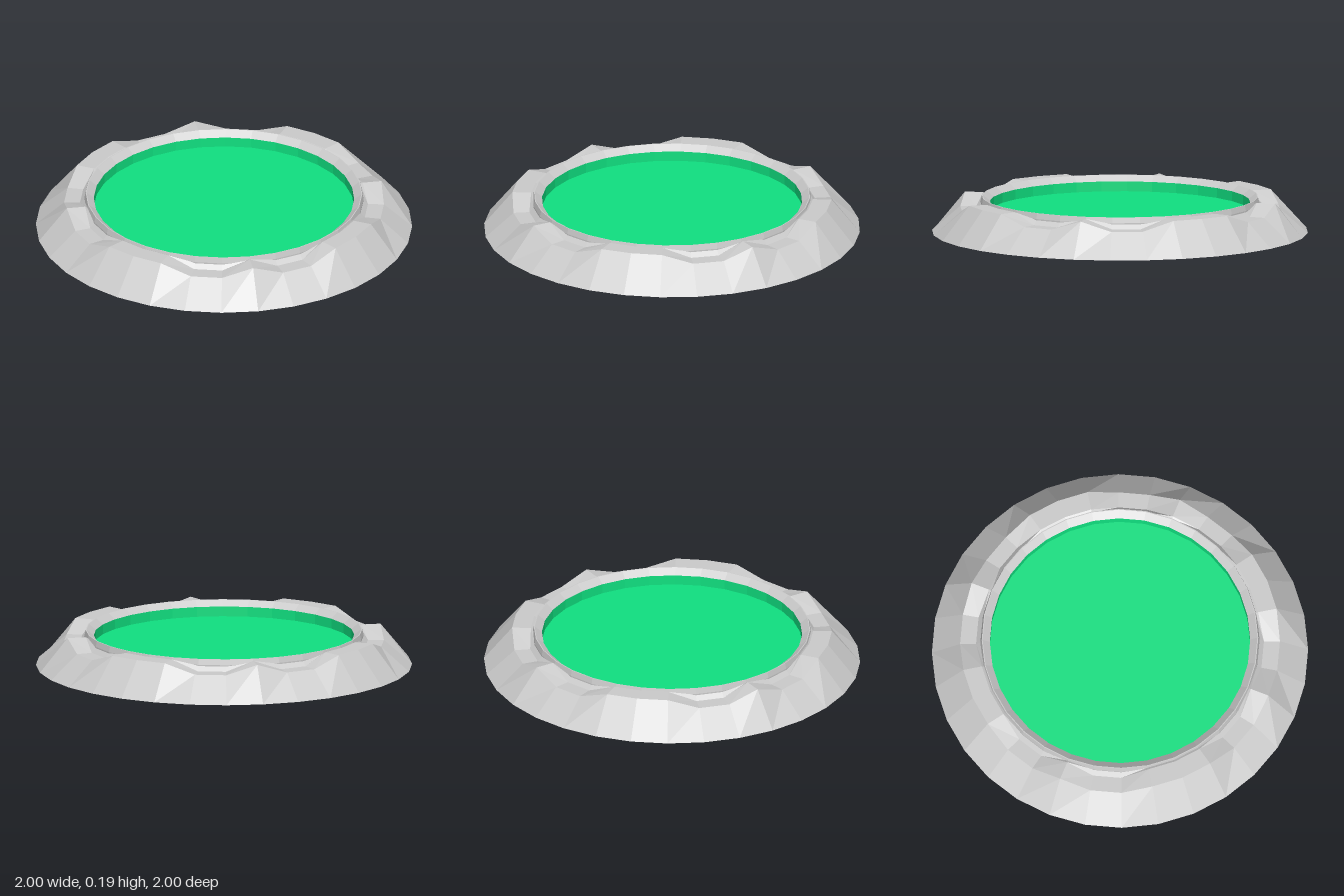
import * as THREE from 'three';

const SIDES = 32;

// Skins a stack of closed rings; profile(i) gives [radius, height] pairs for side i
function loft(profile, color, name) {
  const rows = profile(0).length, positions = [], index = [];
  for (let i = 0; i < SIDES; i++) {
    const a = (i / SIDES) * Math.PI * 2;
    for (const [r, y] of profile(i)) positions.push(r * Math.sin(a), y, r * Math.cos(a));
  }
  for (let i = 0; i < SIDES; i++) {
    const a = i * rows, b = ((i + 1) % SIDES) * rows;
    for (let j = 0; j < rows - 1; j++) {
      index.push(a + j, b + j, b + j + 1, a + j, b + j + 1, a + j + 1);
    }
  }
  const geometry = new THREE.BufferGeometry();
  geometry.setAttribute('position', new THREE.Float32BufferAttribute(positions, 3));
  geometry.setIndex(index);
  const flat = geometry.toNonIndexed();
  flat.computeVertexNormals();
  const mesh = new THREE.Mesh(flat, new THREE.MeshStandardMaterial({ color, flatShading: true }));
  mesh.name = name;
  return mesh;
}

export function createModel() {
  const group = new THREE.Group();
  group.name = 'roundPool';

  // Sloped bank: raised blocks every 45 degrees with notches between them
  const isNotch = (i) => [2, 3, 5, 6].includes(i % 8);
  const bank = (i) => isNotch(i)
    ? [[1, 0], [0.85, 0.13], [0.765, 0.13], [0.74, 0.155]]
    : [[1, 0], [0.85, 0.182], [0.75, 0.182], [0.737, 0.175]];
  group.add(loft(bank, 0xcccccc, 'bank'));

  // Thin raised rim, its top sloping down into the pool
  const rim = () => [[0.742, 0.13], [0.742, 0.16], [0.735, 0.19], [0.73, 0.19], [0.692, 0.16]];
  group.add(loft(rim, 0xcccccc, 'rim'));

  // Green pool wall and flat surface
  group.add(loft(() => [[0.692, 0.16], [0.692, 0.107]], 0x10e080, 'poolWall'));
  const disc = new THREE.CircleGeometry(0.692, SIDES);
  const pool = new THREE.Mesh(disc.clone().rotateX(-Math.PI / 2),
    new THREE.MeshStandardMaterial({ color: 0x10e080, flatShading: true }));
  pool.name = 'poolSurface';
  pool.position.y = 0.107;
  group.add(pool);

  // Closed underside
  const underside = new THREE.Mesh(new THREE.CircleGeometry(1, SIDES).rotateX(Math.PI / 2),
    new THREE.MeshStandardMaterial({ color: 0xcccccc, flatShading: true }));
  underside.name = 'underside';
  group.add(underside);

  return group;
}
